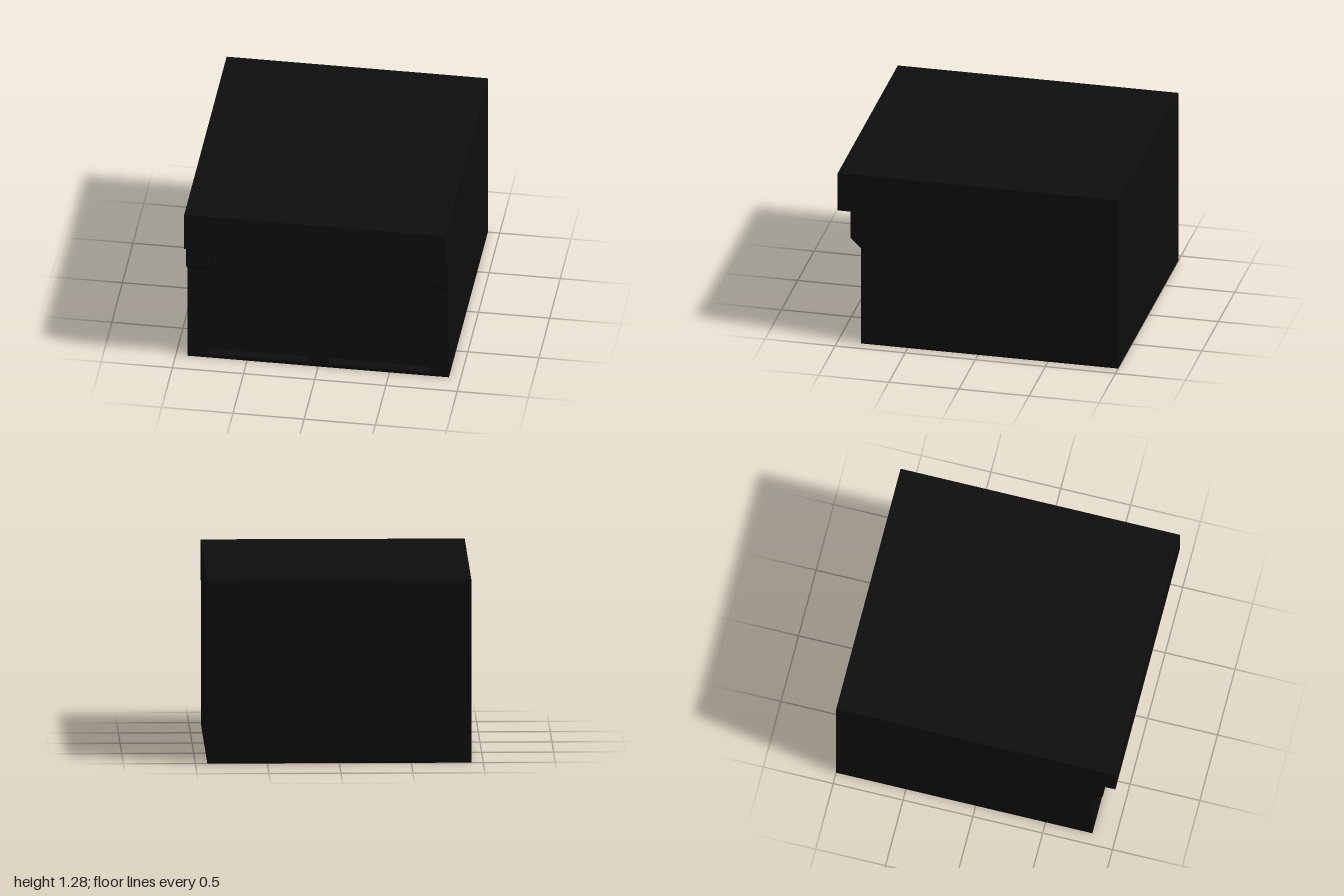
import * as THREE from 'three';

export function createModel() {
  const model = new THREE.Group();
  const wallBlack = new THREE.MeshStandardMaterial({ color: 0x0d0d0d });
  const baseBlack = new THREE.MeshStandardMaterial({ color: 0x080505 });
  const W = 0.917, FRONT = 0.835, DOOR = 0.765, BACK = -1, EAVE = 1.0, TOP = 1.285, BASE = 0.015;

  const add = (name, geometry, material) => {
    const mesh = new THREE.Mesh(geometry, material);
    mesh.name = name;
    model.add(mesh);
    return mesh;
  };
  // Box given by its lower and upper corners
  const block = (name, x0, x1, y0, y1, z0, z1, material = wallBlack) =>
    add(name, new THREE.BoxGeometry(x1 - x0, y1 - y0, z1 - z0), material)
      .position.set((x0 + x1) / 2, (y0 + y1) / 2, (z0 + z1) / 2);
  const rect = (path, x0, x1, y0, y1) =>
    path.moveTo(x0, y0).lineTo(x1, y0).lineTo(x1, y1).lineTo(x0, y1).closePath();

  // Ground slab, main block (its front is the door panels) and overhanging roof
  block('baseSlab', -W, W, 0, BASE, BACK, FRONT, baseBlack);
  block('mainBlock', -W, W, BASE, EAVE, BACK, DOOR);
  block('roofBlock', -W, W, EAVE, TOP, BACK, 1);

  // Front wall with two recessed door bays
  const front = rect(new THREE.Shape(), -W, W, BASE, EAVE);
  for (const [x0, x1] of [[-0.77, -0.075], [0.075, 0.77]]) {
    front.holes.push(rect(new THREE.Path(), x0, x1, 0.03, 0.83));
  }
  add('frontWall', new THREE.ExtrudeGeometry(front, { depth: FRONT - DOOR, bevelEnabled: false }), wallBlack)
    .position.z = DOOR;

  // Sloped brackets carrying the roof at both front corners
  const profile = new THREE.Shape();
  profile.moveTo(-FRONT, 0.73).lineTo(-FRONT, EAVE).lineTo(-0.91, EAVE).lineTo(-0.91, 0.8).closePath();
  const bracketWidth = W - 0.765;
  const bracketGeometry = new THREE.ExtrudeGeometry(profile, { depth: bracketWidth, bevelEnabled: false });
  bracketGeometry.rotateY(Math.PI / 2);
  for (const [name, x] of [['rightBracket', -W], ['leftBracket', W - bracketWidth]]) {
    add(name, bracketGeometry, wallBlack).position.x = x;
  }
  return model;
}
